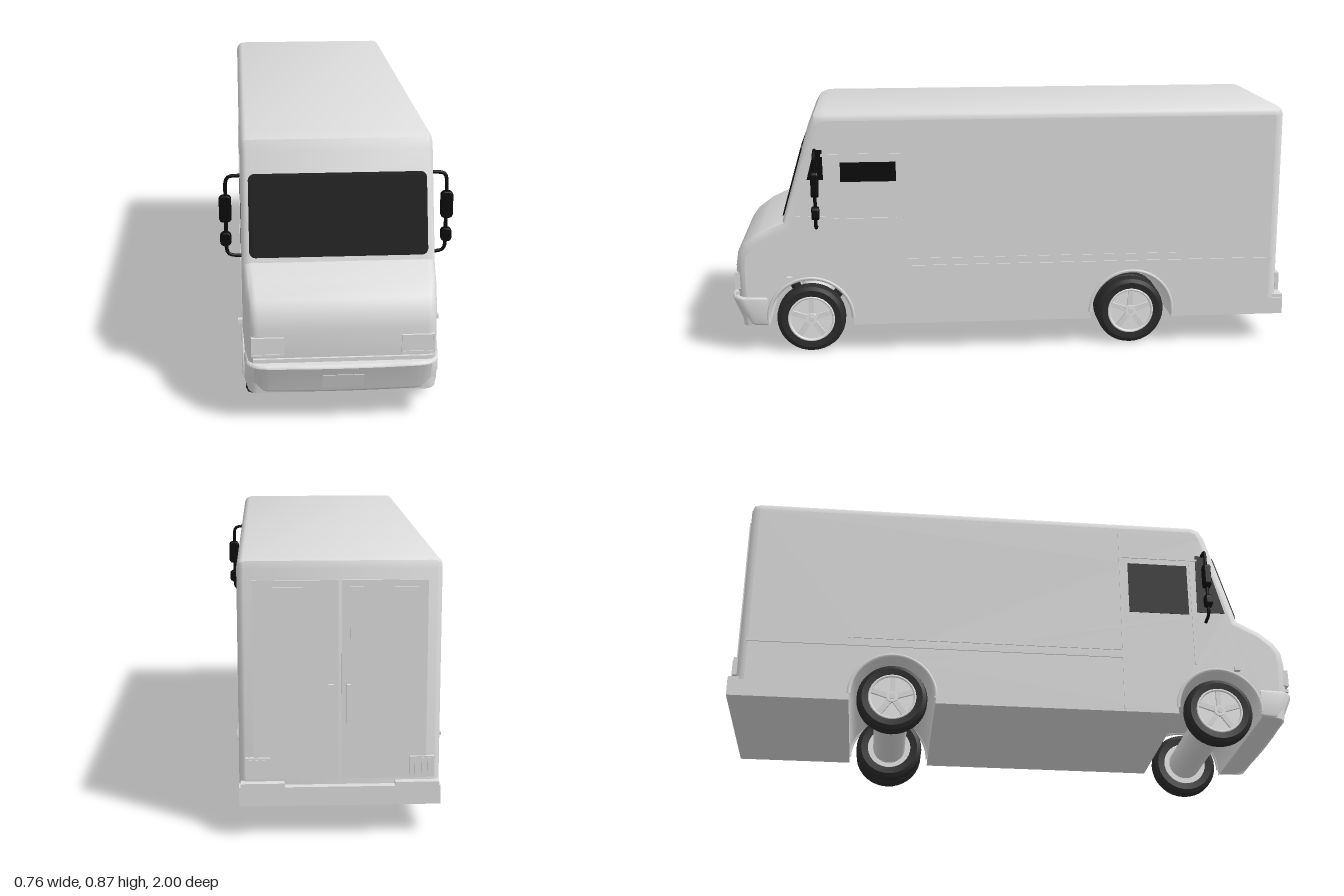
import * as THREE from 'three';
import { toCreasedNormals } from 'three/addons/utils/BufferGeometryUtils.js';

const mat = (name, color, double = false) => {
  const m = new THREE.MeshStandardMaterial({ color });
  m.name = name;
  if (double) m.side = THREE.DoubleSide;
  return m;
};

export function createModel() {
  const van = new THREE.Group();
  van.name = 'stepVan';
  const paint = mat('bodyPaint', 0xdcdcdc, true);
  const rimMat = mat('rimMetal', 0xf0f0f0);
  const rubber = mat('tyreRubber', 0x2b2b2b);
  const black = mat('blackGlass', 0x0b0b0b);

  const add = (name, geo, material, parent = van) => {
    const m = new THREE.Mesh(geo, material);
    m.name = name;
    parent.add(m);
    return m;
  };
  const box = (name, x0, x1, y0, y1, z0, z1, material = paint) => {
    const m = add(name, new THREE.BoxGeometry(x1 - x0, y1 - y0, z1 - z0), material);
    m.position.set((x0 + x1) / 2, (y0 + y1) / 2, (z0 + z1) / 2);
    return m;
  };
  // narrow the nose slightly towards the front
  const taper = (geo) => {
    const p = geo.attributes.position;
    for (let i = 0; i < p.count; i++) {
      const k = Math.max(0, p.getZ(i) - 0.8) / 0.2;
      p.setX(i, p.getX(i) * (1 - 0.07 * k));
    }
    return geo;
  };
  // surface through rows of points
  const loft = (rows) => {
    const n = rows[0].length, index = [];
    for (let i = 0; i < rows.length - 1; i++)
      for (let j = 0; j < n - 1; j++) {
        const a = i * n + j, b = a + n;
        index.push(a, b, a + 1, b, b + 1, a + 1);
      }
    const g = new THREE.BufferGeometry().setFromPoints(rows.flat());
    g.setIndex(index);
    return toCreasedNormals(taper(g), 0.6);
  };

  const W = 0.31, R = 0.03, FRONT = 0.71, REAR = -0.44, AXLE = 0.125, ARCH = 0.15;

  // centre line of the skin: back, roof, windscreen, bonnet, nose (z, y)
  const path = [[-0.975, 0.1], [-0.975, 0.835], [-0.967, 0.857], [-0.945, 0.865], [0.65, 0.865],
    [0.682, 0.852], [0.70, 0.82], [0.80, 0.48], [0.88, 0.445], [0.935, 0.405], [0.96, 0.37],
    [0.968, 0.32], [0.965, 0.22], [0.95, 0.1]].map(([z, y]) => new THREE.Vector2(z, y));
  const dir = (a, b) => b.clone().sub(a).normalize();
  const inset = (i, d) => {
    const last = path.length - 1;
    const a = dir(path[Math.max(i - 1, 0)], path[Math.max(i, 1)]);
    const b = dir(path[Math.min(i, last - 1)], path[Math.min(i + 1, last)]);
    const t = a.clone().add(b).normalize();
    const k = d / Math.max(0.6, t.dot(a));
    return new THREE.Vector2(path[i].x + t.y * k, path[i].y - t.x * k);
  };

  // skin with rounded long edges
  const section = [];
  for (let s = 0; s <= 5; s++) {
    const a = (s / 5) * Math.PI / 2;
    section.push([W - R + R * Math.cos(a), R - R * Math.sin(a)]);
  }
  const across = [...section.map(([x, d]) => [-x, d]), ...section.slice().reverse()];
  add('roofAndNoseSkin', loft(path.map((_, i) => across.map(([x, d]) => {
    const p = inset(i, d);
    return new THREE.Vector3(x, p.y, p.x);
  }))), paint);

  // underside with wheel arches, front to back
  const lower = new THREE.Path();
  const dip = Math.asin((AXLE - 0.1) / ARCH);
  lower.moveTo(0.95, 0.1);
  for (const z of [FRONT, REAR]) lower.absarc(z, AXLE, ARCH, -dip, Math.PI + dip, false);
  lower.lineTo(-0.975, 0.1);
  const lowerPts = lower.getPoints(20);
  add('underside', loft(lowerPts.map((p) => [-W, W].map((x) => new THREE.Vector3(x, p.y, p.x)))), paint);

  // side panels with window openings; glazing on one side only
  const windows = [
    [[0.40, 0.49], [0.62, 0.49], [0.62, 0.69], [0.40, 0.69]],
    [[0.65, 0.50], [0.752, 0.50], [0.69, 0.735], [0.655, 0.735]],
  ].map((w) => w.map(([z, y]) => new THREE.Vector2(z, y)));
  const outline = new THREE.Shape([...path.map((_, i) => inset(i, R)), ...lowerPts.slice(1, -1)]);
  outline.holes = windows.map((w) => new THREE.Path(w));
  const sideways = (shape, depth, x) =>
    new THREE.ExtrudeGeometry(shape, { depth, bevelEnabled: false }).rotateY(-Math.PI / 2).translate(x, 0, 0);
  add('leftSidePanel', taper(sideways(outline, 0.005, W)), paint);
  add('rightSidePanel', taper(sideways(outline, 0.005, -W + 0.005)), paint);
  for (const w of windows) add('rightSideWindow', sideways(new THREE.Shape(w), 0.007, -W + 0.006), black);

  // windscreen
  const rounded = (w, h, r) => {
    const s = new THREE.Shape();
    s.absarc(w - r, h - r, r, 0, Math.PI / 2);
    s.absarc(r - w, h - r, r, Math.PI / 2, Math.PI);
    s.absarc(r - w, r - h, r, Math.PI, Math.PI * 1.5);
    s.absarc(w - r, r - h, r, Math.PI * 1.5, Math.PI * 2);
    return s;
  };
  const screen = add('windscreen', new THREE.ExtrudeGeometry(rounded(0.285, 0.133, 0.02),
    { depth: 0.009, bevelEnabled: false }).translate(0, 0, -0.0045), black);
  screen.position.set(0, 0.6225, 0.758);
  screen.rotation.x = -Math.atan(0.1 / 0.34);

  // front bumper, tucked in at the bottom
  const b = new THREE.Shape();
  b.moveTo(-0.297, 0.87);
  b.lineTo(-0.292, 0.94);
  b.quadraticCurveTo(-0.285, 0.975, -0.23, 0.98);
  b.quadraticCurveTo(0, 0.995, 0.23, 0.98);
  b.quadraticCurveTo(0.285, 0.975, 0.292, 0.94);
  b.lineTo(0.297, 0.87);
  const bumper = new THREE.ExtrudeGeometry(b, { depth: 0.085, bevelSize: 0.01, bevelThickness: 0.01, bevelSegments: 3 })
    .rotateX(Math.PI / 2).translate(0, 0.198, 0);
  const bp = bumper.attributes.position;
  for (let i = 0; i < bp.count; i++)
    if (bp.getY(i) < 0.13 && bp.getZ(i) > 0.93) bp.setZ(i, bp.getZ(i) - 0.035);
  add('frontBumper', toCreasedNormals(bumper, 0.6), paint);
  const plate = box('frontPlate', -0.065, 0.065, 0.125, 0.175, 0.975, 0.982);
  plate.rotation.x = 0.3;
  box('noseGroove', -0.28, 0.28, 0.213, 0.225, 0.955, 0.974);

  // rear bumper and doors
  box('rearBumper', -W, W, 0.1, 0.16, -1, -0.94);
  for (const s of [-1, 1]) {
    const span = (name, a, c, ...rest) => box(name, Math.min(s * a, s * c), Math.max(s * a, s * c), ...rest);
    span('rearDoor', 0.005, 0.265, 0.18, 0.80, -0.981, -0.974);
    span('rearDoorPane', 0.03, 0.235, 0.62, 0.78, -0.985, -0.978);
    span('rearDoorHandle', 0.02, 0.035, 0.36, 0.48, -0.99, -0.978);
    span('rearStep', 0.17, 0.305, 0.16, 0.172, -1, -0.96);
    span('tailLamp', 0.215, 0.29, 0.185, 0.25, -0.988, -0.974);
    for (const x of [0.23, 0.25, 0.27]) span('tailLampBar', x, x + 0.008, 0.19, 0.245, -0.992, -0.985);

    // headlight frame
    for (const y of [0.235, 0.29]) span('headlightFrame', 0.185, 0.282, y, y + 0.006, 0.93, 0.975);
    for (const x of [0.183, 0.28]) span('headlightFrame', x, x + 0.006, 0.235, 0.296, 0.93, 0.975);
    span('headlight', 0.189, 0.28, 0.241, 0.29, 0.94, 0.972);

    // side rails, door seams and marker lamps
    span('sideRail', W - 0.002, W + 0.004, 0.305, 0.315, -0.95, 0.37);
    span('sideRail', W - 0.002, W + 0.003, 0.335, 0.341, -0.60, 0.37);
    span('doorPost', W - 0.002, W + 0.003, 0.11, 0.82, 0.368, 0.376);
    span('doorPost', W - 0.002, W + 0.003, 0.29, 0.72, 0.63, 0.636);
    span('doorHeader', W - 0.002, W + 0.003, 0.712, 0.72, 0.376, 0.66);
    span('markerLamp', 0.30, 0.325, 0.27, 0.284, 0.77, 0.79);

    // mirrors
    const arm = new THREE.CatmullRomCurve3([[0.305, 0.735], [0.345, 0.732], [0.357, 0.71], [0.357, 0.6],
      [0.357, 0.49], [0.345, 0.468], [0.305, 0.463]].map(([x, y]) => new THREE.Vector3(s * x, y, 0.68)), false, 'catmullrom', 0.3);
    add('mirrorArm', new THREE.TubeGeometry(arm, 32, 0.006, 8), black);
    for (const [y, w, h] of [[0.625, 0.02, 0.045], [0.523, 0.018, 0.023]]) {
      const g = new THREE.ExtrudeGeometry(rounded(w - 0.004, h - 0.004, 0.01),
        { depth: 0.016, bevelSize: 0.004, bevelThickness: 0.005, bevelSegments: 2 });
      add('mirror', g, black).position.set(s * 0.359, y, 0.672);
    }

    // wheel arch lips
    for (const z of [FRONT, REAR]) {
      const lip = add('wheelArchLip', new THREE.TorusGeometry(ARCH, 0.007, 6, 28, Math.PI), paint);
      lip.rotation.y = -Math.PI / 2;
      lip.position.set(s * (W - 0.002), AXLE, z);
    }
  }

  // wheels: tyre, recessed rim, spokes and hub, outer face towards +x
  const tyreProfile = [[0.08, -0.028], [0.105, -0.031], [0.118, -0.024], [0.122, -0.012], [0.122, 0.012],
    [0.118, 0.024], [0.105, 0.031], [0.082, 0.028], [0.08, 0.01]].map(([r, y]) => new THREE.Vector2(r, y));
  const tyreGeo = toCreasedNormals(new THREE.LatheGeometry(tyreProfile, 36), 0.5).rotateZ(-Math.PI / 2);
  const disc = (r, len) => new THREE.CylinderGeometry(r, r, len, 32).rotateZ(Math.PI / 2);
  const wheel = (name, x, z, s) => {
    const g = new THREE.Group();
    g.name = name;
    add('tyre', tyreGeo, rubber, g);
    add('rimDisc', disc(0.081, 0.036), rimMat, g);
    add('rimLip', new THREE.TorusGeometry(0.079, 0.005, 8, 36).rotateY(Math.PI / 2).translate(0.026, 0, 0), rimMat, g);
    add('hub', disc(0.02, 0.03).translate(0.016, 0, 0), rimMat, g);
    add('hubCap', disc(0.01, 0.006).translate(0.032, 0, 0), paint, g);
    for (let i = 0; i < 5; i++) {
      const spoke = new THREE.BoxGeometry(0.012, 0.066, 0.018).translate(0.02, 0.045, 0);
      add('spoke', spoke, paint, g).rotation.x = (i * Math.PI * 2) / 5;
    }
    g.position.set(x, AXLE - 0.003, z);
    if (s < 0) g.rotation.y = Math.PI;
    van.add(g);
  };
  for (const s of [-1, 1]) {
    wheel('frontWheel', s * 0.272, FRONT, s);
    wheel('rearWheel', s * 0.272, REAR, s);
  }
  wheel('innerRearWheel', 0.212, REAR, 1);
  for (const z of [FRONT, REAR])
    add('axle', disc(0.06, 0.49), paint).position.set(0, AXLE - 0.002, z);

  return van;
}
